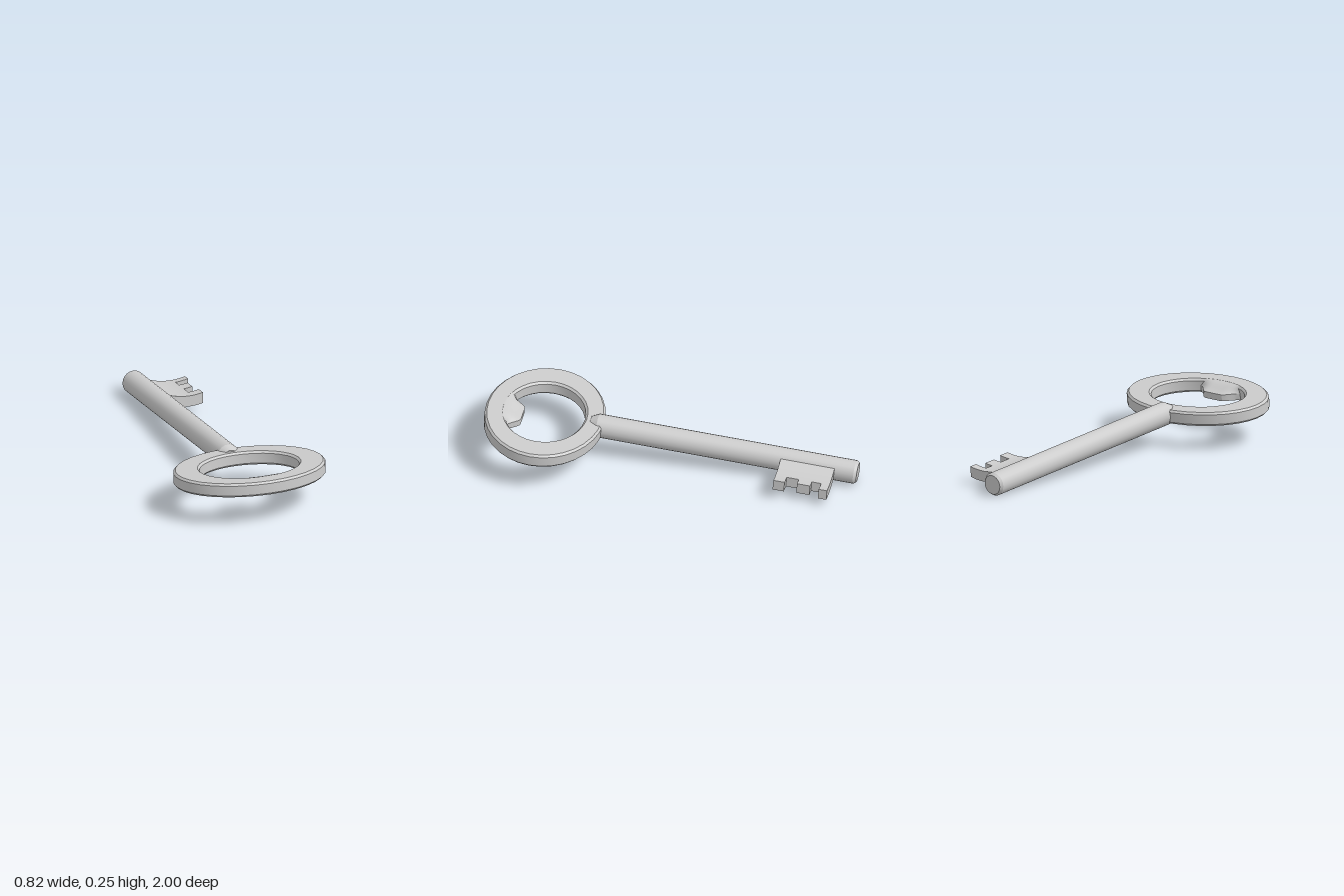
import * as THREE from 'three';
import { toCreasedNormals } from 'three/addons/utils/BufferGeometryUtils.js';

const RING = { z: 0.683, y: -0.004, outer: [0.412, 0.315], inner: [0.268, 0.212], thickness: 0.075 };
const CREASE = 0.45;

export function createModel() {
  const model = new THREE.Group();
  model.name = 'key';
  const material = new THREE.MeshStandardMaterial({ color: 0xcccccc });

  // The whole key leans: its bow is higher than its tip
  const body = new THREE.Group();
  body.name = 'tiltedKey';
  body.position.y = 0.144;
  body.rotation.x = -0.079;
  model.add(body);

  const add = (name, geometry) => {
    const mesh = new THREE.Mesh(toCreasedNormals(geometry, CREASE), material);
    mesh.name = name;
    body.add(mesh);
    return mesh;
  };

  // Shaft: turned rod with chamfered tip and tapered end sunk in the bow
  const profile = [[0, -0.998], [0.052, -0.998], [0.0625, -0.982], [0.0625, 0.4], [0.042, 0.44], [0, 0.44]]
    .map(([r, h]) => new THREE.Vector2(r, h));
  add('shaft', new THREE.LatheGeometry(profile, 20).rotateX(Math.PI / 2)).position.x = -0.01;

  // Bow: flat oval ring with bevelled edges
  const bevel = 0.011;
  const oval = ([rx, rz], n) => new THREE.EllipseCurve(0, 0, rx, rz).getPoints(n).slice(0, n);
  const ringShape = new THREE.Shape(oval(RING.outer, 32));
  ringShape.holes.push(new THREE.Path(oval(RING.inner, 32)));
  const ring = new THREE.ExtrudeGeometry(ringShape, {
    depth: RING.thickness - 2 * bevel, bevelEnabled: true, bevelSegments: 1,
    bevelSize: bevel, bevelThickness: bevel, bevelOffset: -bevel,
  });
  ring.translate(0, 0, bevel - RING.thickness / 2).rotateX(Math.PI / 2);
  add('bow', ring).position.set(0, RING.y, RING.z);

  // Opener tab: slopes from the bow's top face down to a thin lip in the hole
  const tab = new THREE.BoxGeometry(0.27, 2, 1, 18, 1, 5);
  const p = tab.attributes.position;
  for (let i = 0; i < p.count; i++) {
    const x = p.getX(i);
    const v = 0.5 - p.getZ(i); // 0 in the bow, 1 at the lip
    const root = RING.z + RING.inner[1] * Math.sqrt(1 - (x / RING.inner[0]) ** 2) + bevel;
    const lip = 0.8 + 0.065 * THREE.MathUtils.smoothstep(Math.abs(x), 0.05, 0.135);
    const top = 0.037 - 0.037 * THREE.MathUtils.smoothstep(v, 0, 1.1);
    p.setXYZ(i, x, RING.y + (p.getY(i) > 0 ? top : -0.034), THREE.MathUtils.lerp(root, lip, v));
  }
  add('openerTab', tab);

  // Bit: gently sagging plate with three teeth
  const sag = (x) => 1.5 * (x - 0.155) ** 2 - 0.014;
  const strip = (name, x0, x1, z0, z1) => {
    const half = 0.029;
    const n = Math.ceil((x1 - x0) / 0.02);
    const lower = [], upper = [];
    for (let i = 0; i <= n; i++) {
      const x = x0 + ((x1 - x0) * i) / n;
      lower.push(new THREE.Vector2(x, sag(x) - half));
      upper.unshift(new THREE.Vector2(x, sag(x) + half));
    }
    const geometry = new THREE.ExtrudeGeometry(new THREE.Shape([...lower, ...upper]), { depth: z1 - z0, bevelEnabled: false });
    add(name, geometry.translate(0, 0, z0));
  };
  strip('bitPlate', 0.03, 0.17, -0.88, -0.59);
  strip('bitToothTip', 0.17, 0.24, -0.88, -0.835);
  strip('bitToothMiddle', 0.17, 0.218, -0.785, -0.715);
  strip('bitToothInner', 0.17, 0.23, -0.65, -0.59);

  return model;
}
